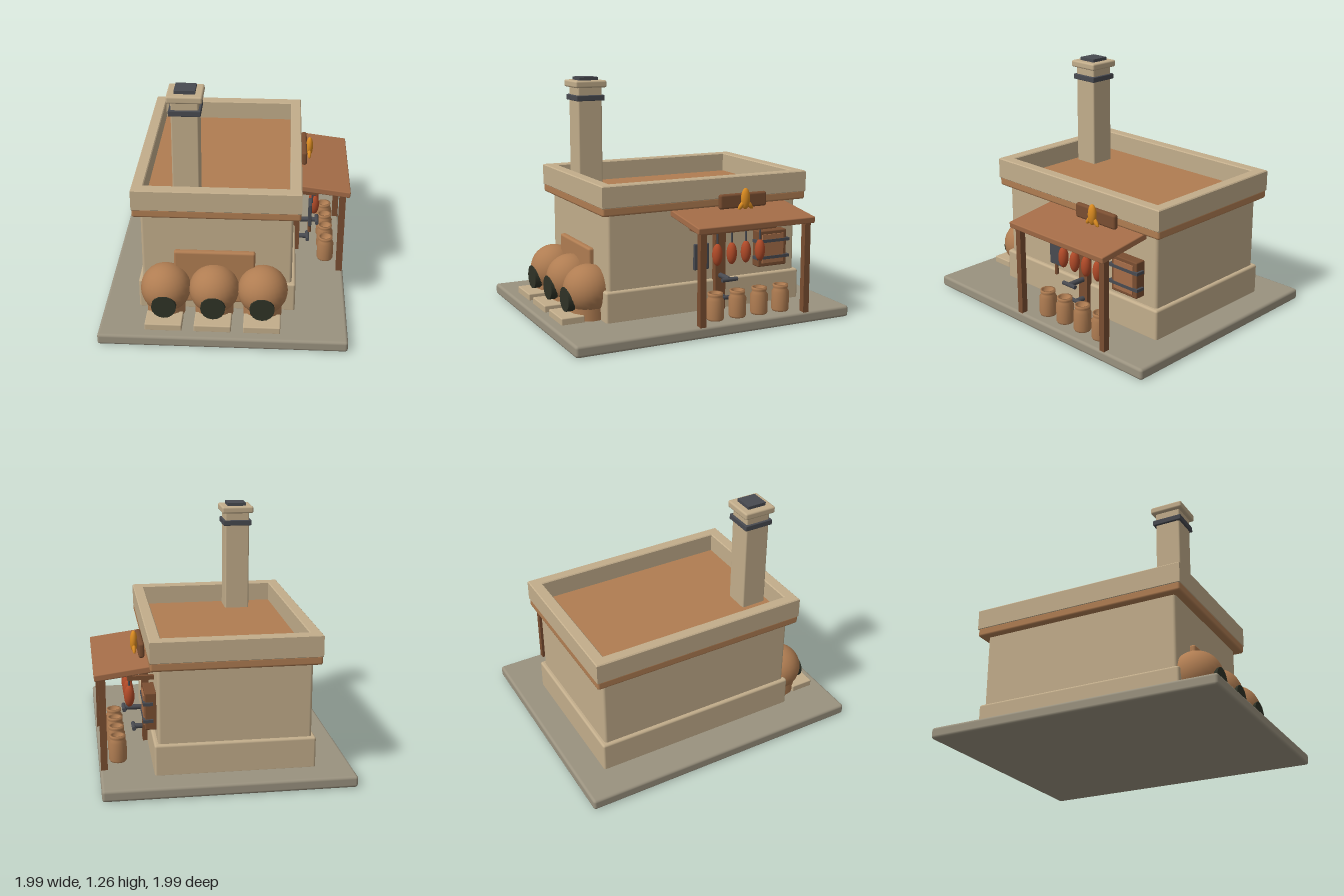
import * as THREE from 'three';
import { RoundedBoxGeometry } from 'three/addons/geometries/RoundedBoxGeometry.js';

const mat = (name, color, extra = {}) => {
  const m = new THREE.MeshStandardMaterial({ color, ...extra });
  m.name = name;
  return m;
};

export function createModel() {
  const stone = mat('sandy stone', 0xc2ad8b);
  const paving = mat('grey paving', 0x9a927f);
  const clay = mat('brown clay', 0xb07d52);
  const plank = mat('awning wood', 0xa56d48);
  const wood = mat('dark wood', 0x7a4e31);
  const soot = mat('soot', 0x2f3226);
  const iron = mat('dark iron', 0x484a50);
  const amber = mat('amber', 0xd98a20);
  const red = mat('cured red', 0xb04a28);

  const model = new THREE.Group();
  model.name = 'bakehouse';
  // Everything is laid out square, then turned an eighth of a circle
  const yard = new THREE.Group();
  yard.name = 'yard';
  yard.rotation.y = Math.PI / 4;
  model.add(yard);

  const add = (name, geo, material, x, y, z) => {
    const m = new THREE.Mesh(geo, material);
    m.name = name;
    m.position.set(x, y, z);
    yard.add(m);
    return m;
  };
  // Box by centre x/z and bottom/top heights, optionally rounded
  const box = (name, material, x, z, w, d, y0, y1, r = 0) => add(name,
    r ? new RoundedBoxGeometry(w, y1 - y0, d, 2, r) : new THREE.BoxGeometry(w, y1 - y0, d),
    material, x, (y0 + y1) / 2, z);
  const ball = (name, material, x, y, z, rx, ry, rz) => {
    const m = add(name, new THREE.SphereGeometry(1, 24, 16), material, x, y, z);
    m.scale.set(rx, ry, rz);
    return m;
  };
  const rod = (name, material, x, y, z, r, h) =>
    add(name, new THREE.CylinderGeometry(r, r, h, 16), material, x, y, z);

  // Ground slab and house body
  const cx = 0.06, cz = -0.042;
  box('groundSlab', paving, 0, 0, 1.56, 1.275, 0, 0.06, 0.015);
  box('walls', stone, cx, cz, 1.1, 0.78, 0.05, 0.63, 0.015);
  box('plinth', stone, cx, cz, 1.14, 0.82, 0.05, 0.22, 0.012);

  // Flat roof with raised parapet
  box('roofSlab', clay, cx, cz, 1.186, 0.856, 0.61, 0.66, 0.012);
  const rect = (path, w, d) => {
    path.moveTo(-w / 2, -d / 2);
    path.lineTo(w / 2, -d / 2);
    path.lineTo(w / 2, d / 2);
    path.lineTo(-w / 2, d / 2);
    path.closePath();
    return path;
  };
  const rim = rect(new THREE.Shape(), 1.18, 0.85);
  rim.holes.push(rect(new THREE.Path(), 1.074, 0.75));
  const rimGeo = new THREE.ExtrudeGeometry(rim, {
    depth: 0.105, bevelEnabled: true, bevelSize: 0.005, bevelThickness: 0.005, bevelSegments: 1,
  });
  rimGeo.rotateX(-Math.PI / 2);
  add('parapet', rimGeo, stone, cx, 0.655, cz);

  // Chimney
  const hx = -0.382, hz = -0.198;
  box('chimneyShaft', stone, hx, hz, 0.137, 0.137, 0.64, 1.22, 0.008);
  box('chimneyBand', iron, hx, hz, 0.16, 0.16, 1.14, 1.17, 0.004);
  box('chimneyCap', stone, hx, hz, 0.178, 0.178, 1.21, 1.248, 0.01);
  box('chimneyFlue', iron, hx, hz, 0.104, 0.104, 1.24, 1.265);

  // Three domed ovens against the side wall
  box('ovenBackboard', clay, -0.5, -0.053, 0.035, 0.42, 0.1, 0.405, 0.012);
  for (let i = -1; i <= 1; i++) {
    const z = -0.053 + i * 0.252;
    ball('ovenDome', clay, -0.541, 0.205, z, 0.13, 0.13, 0.13);
    rod('ovenFoot', clay, -0.541, 0.09, z, 0.1, 0.07);
    const mouth = rod('ovenMouth', soot, -0.652, 0.165, z, 0.064, 0.04);
    mouth.rotation.z = Math.PI / 2;
    box('ovenStep', stone, -0.66, z, 0.125, 0.19, 0.055, 0.095, 0.006);
  }

  // Awning on two posts
  const awning = add('awning', new RoundedBoxGeometry(0.68, 0.034, 0.32, 2, 0.006), plank, 0.2, 0.573, 0.495);
  awning.rotation.x = 0.13;
  for (const x of [-0.1, 0.51]) box('awningPost', wood, x, 0.615, 0.034, 0.034, 0.055, 0.55);

  // Wall board with an amber ornament above the awning
  box('signBoard', wood, 0.25, 0.407, 0.28, 0.03, 0.6, 0.678, 0.012);
  ball('ornament', amber, 0.25, 0.652, 0.437, 0.025, 0.056, 0.02);
  for (const s of [-1, 1]) {
    const leaf = ball('ornamentLeaf', amber, 0.25 + s * 0.024, 0.618, 0.437, 0.012, 0.03, 0.01);
    leaf.rotation.z = s * 0.7;
  }

  // Hanging rail with cured goods and a cleaver
  box('hangingRail', wood, 0.19, 0.47, 0.44, 0.026, 0.49, 0.516);
  for (const x of [-0.02, 0.4]) box('railBracket', wood, x, 0.41, 0.022, 0.14, 0.492, 0.514);
  for (let i = 0; i < 4; i++) {
    const x = 0.067 + i * 0.085;
    rod('hangingCord', iron, x, 0.455, 0.47, 0.005, 0.09);
    ball('curedMeat', red, x, 0.378, 0.47, 0.027, 0.058, 0.027);
  }
  box('cleaverBlade', iron, -0.014, 0.445, 0.085, 0.018, 0.305, 0.44, 0.004);
  rod('cleaverHandle', wood, -0.014, 0.28, 0.445, 0.01, 0.06);
  rod('cleaverCord', iron, -0.014, 0.465, 0.455, 0.005, 0.06);

  // Water spout mounted on an upright plank
  box('spoutPlank', wood, 0.13, 0.375, 0.06, 0.035, 0.055, 0.49);
  for (const y of [0.135, 0.245]) {
    const len = y > 0.2 ? 0.11 : 0.06;
    const spout = rod('spout', iron, 0.13, y, 0.375 + len / 2, 0.014, len);
    spout.rotation.x = Math.PI / 2;
    const handle = rod('spoutHandle', iron, 0.13, y, 0.38 + len, 0.011, 0.09);
    handle.rotation.z = Math.PI / 2;
  }

  // Small wall cabinet with iron straps
  box('cabinet', wood, 0.44, 0.375, 0.175, 0.06, 0.265, 0.46, 0.006);
  box('cabinetDoor', plank, 0.44, 0.407, 0.13, 0.009, 0.285, 0.44);
  for (const y of [0.315, 0.405]) box('cabinetStrap', iron, 0.44, 0.39, 0.2, 0.05, y - 0.008, y + 0.008);

  // Row of clay jars
  const jar = new THREE.LatheGeometry([
    [0, 0], [0.04, 0], [0.046, 0.012], [0.046, 0.105], [0.036, 0.12],
    [0.04, 0.13], [0.04, 0.143], [0.029, 0.143], [0.029, 0.115], [0, 0.115],
  ].map(([r, y]) => new THREE.Vector2(r, y)), 20);
  for (let i = 0; i < 4; i++) add('clayJar', jar, clay, 0.018 + i * 0.13, 0.058, 0.54);

  return model;
}
